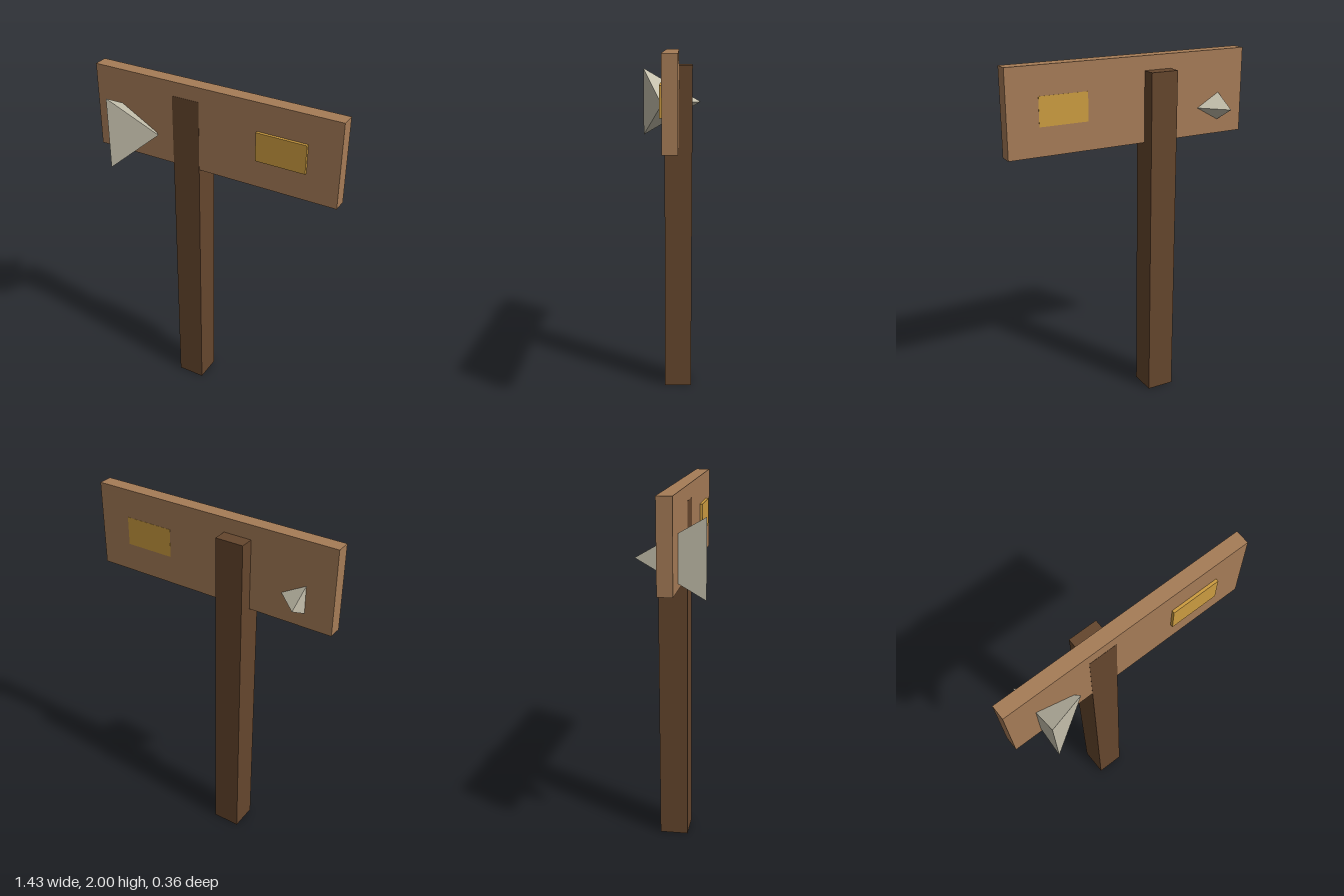
import * as THREE from 'three';

const material = (name, color) => {
  const m = new THREE.MeshStandardMaterial({ color });
  m.name = name;
  return m;
};

// Box given by its minimum and maximum corners
function box(name, mat, min, max) {
  const size = max.map((v, i) => v - min[i]);
  const mesh = new THREE.Mesh(new THREE.BoxGeometry(...size), mat);
  mesh.position.set(...max.map((v, i) => (v + min[i]) / 2));
  mesh.name = name;
  return mesh;
}

export function createModel() {
  const group = new THREE.Group();
  group.name = 'signpost';

  const darkWood = material('dark wood', 0x65462d);
  const lightWood = material('light wood', 0xa67c57);
  const gold = material('gold', 0xcc9c40);
  const stone = material('pale stone', 0xc4bfac);

  // Upright post, a hair proud of the board front
  group.add(box('post', darkWood, [-0.24, 0, -0.122], [-0.08, 1.92, 0.036]));

  // Sign board
  group.add(box('board', lightWood, [-0.717, 1.525, -0.044], [0.717, 2, 0.035]));

  // Plaque let through the board
  group.add(box('plaque', gold, [0.26, 1.682, -0.045], [0.54, 1.842, 0.051]));

  // Three-sided arrowhead pointing to +x, one base corner at the back
  const cone = new THREE.ConeGeometry(0.237, 0.24, 3)
    .rotateY(Math.PI)
    .rotateZ(-Math.PI / 2)
    .toNonIndexed();
  cone.computeVertexNormals();
  const arrow = new THREE.Mesh(cone, stone);
  arrow.position.set(-0.44, 1.682, 0.058);
  arrow.name = 'arrowhead';
  group.add(arrow);

  return group;
}
